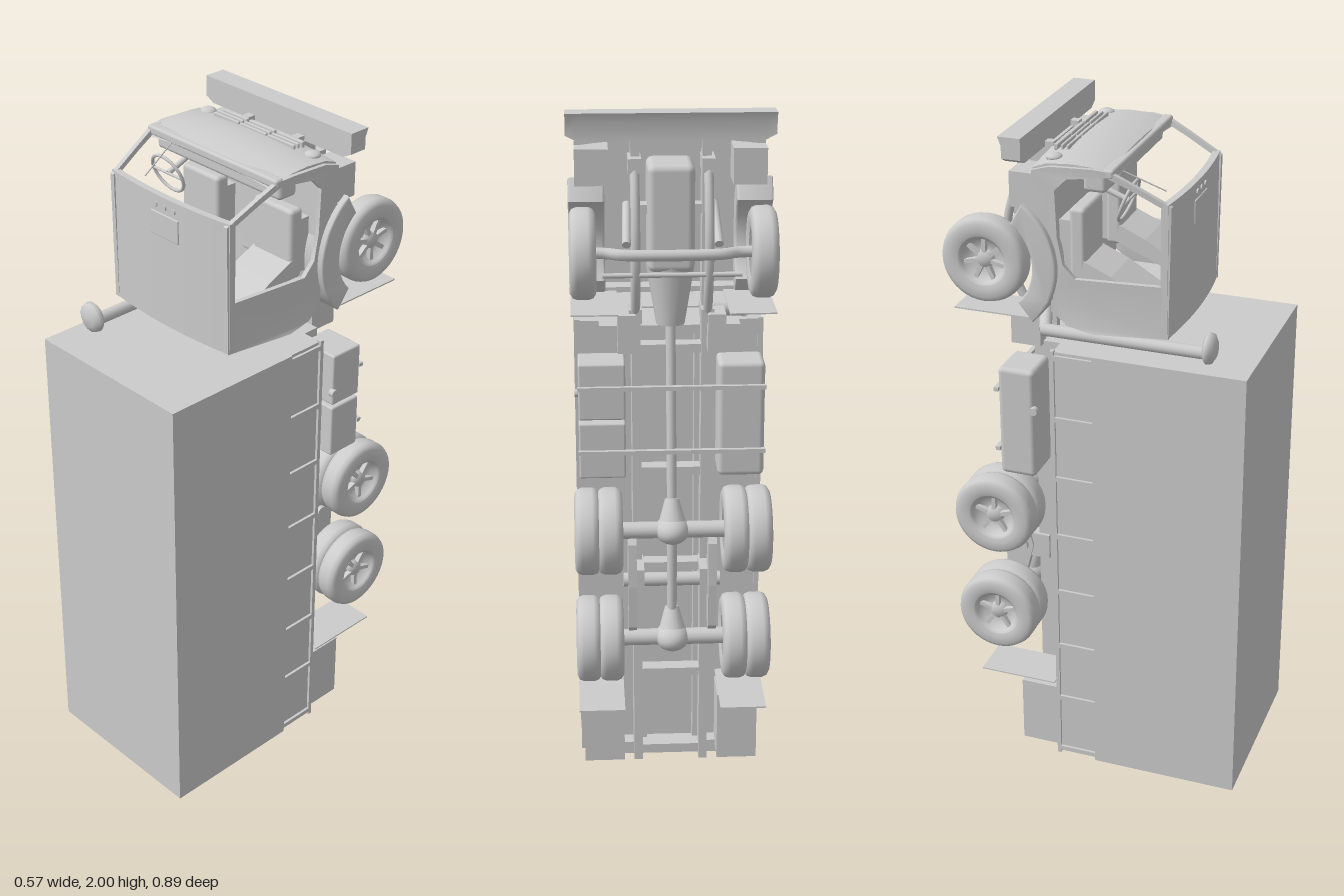
import * as THREE from 'three';
import { toCreasedNormals } from 'three/addons/utils/BufferGeometryUtils.js';
import { RoundedBoxGeometry } from 'three/addons/geometries/RoundedBoxGeometry.js';

// The truck stands on its tail: y runs along its length, z is its height.
export function createModel() {
  const root = new THREE.Group();
  root.name = 'truck';
  const mat = new THREE.MeshStandardMaterial({ color: 0xcccccc, side: THREE.DoubleSide });
  const V = (x, y, z) => new THREE.Vector3(x, y, z);

  function add(name, geo, parent = root) {
    const m = new THREE.Mesh(geo, mat);
    m.name = name;
    parent.add(m);
    return m;
  }
  // Box given by its limits on each axis
  function box(name, x0, x1, y0, y1, z0, z1, r = 0, parent = root) {
    const s = [x1 - x0, y1 - y0, z1 - z0];
    const g = r ? new RoundedBoxGeometry(...s, 2, r) : new THREE.BoxGeometry(...s);
    g.translate((x0 + x1) / 2, (y0 + y1) / 2, (z0 + z1) / 2);
    return add(name, g, parent);
  }
  const mirrorBox = (name, x0, x1, ...rest) => {
    box(name, x0, x1, ...rest);
    box(name, -x1, -x0, ...rest);
  };
  // Round bar between two points
  function rod(name, a, b, r, r2 = r, sides = 16) {
    const d = b.clone().sub(a);
    const m = add(name, new THREE.CylinderGeometry(r2, r, d.length(), sides));
    m.position.copy(a).addScaledVector(d, 0.5);
    m.quaternion.setFromUnitVectors(V(0, 1, 0), d.normalize());
    return m;
  }
  // Side profile of [z, y] points extruded along x from x0 to x1
  const path = (pts) => pts.map(([z, y]) => new THREE.Vector2(-z, y));
  function profile(pts, x0, x1, hole, steps = 1, bevel = 0) {
    const s = new THREE.Shape(path(pts));
    if (hole) s.holes.push(new THREE.Path(path(hole)));
    const g = new THREE.ExtrudeGeometry(s, {
      depth: x1 - x0, steps, bevelEnabled: bevel > 0,
      bevelSize: bevel, bevelThickness: bevel, bevelSegments: 3,
    });
    return g.rotateY(Math.PI / 2).translate(x0, 0, 0);
  }
  function warp(geo, rule) {
    const p = geo.attributes.position, v = V();
    for (let i = 0; i < p.count; i++) {
      rule(v.fromBufferAttribute(p, i));
      p.setXYZ(i, v.x, v.y, v.z);
    }
    return toCreasedNormals(geo, 0.6);
  }

  // Cargo body with ribbed lower sill
  box('cargoBody', -0.272, 0.272, 0, 1.39, 0, 0.445);
  box('cargoSill', -0.262, 0.262, 0.005, 1.385, -0.12, 0);
  for (let i = 0; i < 8; i++) {
    const y = 0.01 + i * 0.193;
    mirrorBox('sillRib', 0.255, 0.27, y, y + 0.015, -0.122, 0);
  }
  mirrorBox('sillEdge', 0.255, 0.27, 0, 1.39, -0.126, -0.114);
  box('rearSill', -0.2, 0.2, 0, 0.04, -0.165, -0.12);
  box('frontSill', -0.2, 0.2, 1.36, 1.385, -0.17, -0.12);
  box('rearPlate', -0.05, 0.05, -0.003, 0.004, -0.06, -0.02);

  // Ladder frame
  mirrorBox('frameRail', 0.085, 0.11, 0.02, 1.94, -0.235, -0.165);
  mirrorBox('subframeRail', 0.07, 0.11, 0.02, 1.38, -0.17, -0.11);
  [0.04, 0.3, 0.65, 0.95, 1.32, 1.72, 1.9].forEach((y) =>
    box('crossMember', -0.1, 0.1, y, y + 0.025, -0.225, -0.18));

  // Wheels: one tyre and one recessed rim, reused along the axles
  const tyreProfile = [[0.068, -0.03], [0.085, -0.036], [0.108, -0.035], [0.12, -0.028],
    [0.125, -0.015], [0.125, 0.015], [0.12, 0.028], [0.108, 0.035], [0.085, 0.036], [0.068, 0.03]];
  const rimProfile = [[0.0, 0.02], [0.022, 0.02], [0.025, 0.006], [0.03, 0.003], [0.056, 0.008], [0.064, 0.028], [0.072, 0.033]];
  const lathe = (pts) => new THREE.LatheGeometry(pts.map((p) => new THREE.Vector2(...p)), 40);
  const tyreGeo = lathe(tyreProfile), rimGeo = lathe(rimProfile);
  function wheel(name, x, y, spokes) {
    const w = new THREE.Group();
    w.name = name;
    add('tyre', tyreGeo, w);
    add('rim', rimGeo, w);
    for (let i = 0; i < spokes; i++) {
      const s = new THREE.Group();
      s.name = 'spoke';
      box('spokeBar', 0.02, 0.063, 0.004, 0.02, -0.006, 0.006, 0, s);
      s.rotation.y = (i * 2 * Math.PI) / spokes;
      w.add(s);
    }
    w.position.set(x, y, -0.317);
    w.rotation.z = x > 0 ? -Math.PI / 2 : Math.PI / 2;
    root.add(w);
  }
  const axleZ = -0.317, frontY = 1.635, rearYs = [0.48, 0.82];
  for (const s of [-1, 1]) {
    wheel('frontWheel', s * 0.243, frontY, 7);
    for (const y of rearYs) {
      wheel('rearOuterWheel', s * 0.243, y, 5);
      wheel('rearInnerWheel', s * 0.178, y, 0);
    }
  }

  // Rear axles, differentials and drive shafts
  for (const y of rearYs) {
    rod('rearAxle', V(-0.23, y, axleZ), V(0.23, y, axleZ), 0.024);
    const diff = add('differential', new THREE.SphereGeometry(0.055, 24, 16));
    diff.position.set(0, y, axleZ);
    diff.scale.set(0.9, 0.75, 1);
    rod('differentialNose', V(0, y, axleZ), V(0, y + 0.085, -0.29), 0.045, 0.02);
  }
  rod('rearDriveShaft', V(0, 0.52, -0.3), V(0, 0.8, -0.3), 0.014);
  rod('driveShaft', V(0, 0.88, -0.285), V(0, 1.42, -0.21), 0.014);
  rod('gearbox', V(0, 1.4, -0.2), V(0, 1.58, -0.19), 0.04, 0.07);
  box('engine', -0.065, 0.065, 1.56, 1.86, -0.26, -0.11, 0.02);
  rod('rearPivot', V(-0.14, 0.65, -0.285), V(0.14, 0.65, -0.285), 0.02);
  const beam = [[-0.3, 0.48], [-0.335, 0.52], [-0.34, 0.65], [-0.335, 0.78], [-0.3, 0.82], [-0.27, 0.73], [-0.25, 0.65], [-0.27, 0.57]];
  for (const s of [-1, 1]) {
    add('walkingBeam', profile(beam, s * 0.115 - 0.012, s * 0.115 + 0.012));
    box('pivotBracket', s * 0.1 - 0.02, s * 0.1 + 0.02, 0.61, 0.69, -0.31, -0.2);
  }

  // Front axle, springs and steering
  const axleCurve = new THREE.CatmullRomCurve3(
    [[-0.23, -0.317], [-0.18, -0.32], [-0.13, -0.342], [0.13, -0.342], [0.18, -0.32], [0.23, -0.317]].map(([x, z]) => V(x, frontY, z)));
  add('frontAxle', new THREE.TubeGeometry(axleCurve, 32, 0.016, 10));
  rod('trackRod', V(-0.19, 1.57, -0.31), V(0.19, 1.57, -0.31), 0.007);
  for (const s of [-1, 1]) {
    const spring = new THREE.QuadraticBezierCurve3(V(s * 0.1, 1.44, -0.25), V(s * 0.1, frontY, -0.38), V(s * 0.1, 1.86, -0.25));
    add('leafSpring', new THREE.TubeGeometry(spring, 20, 0.013, 8));
    rod('shockAbsorber', V(s * 0.125, 1.66, -0.33), V(s * 0.12, 1.74, -0.19), 0.012);
    box('springHanger', s * 0.1 - 0.018, s * 0.1 + 0.018, 1.84, 1.88, -0.27, -0.18);
    box('springHanger', s * 0.1 - 0.018, s * 0.1 + 0.018, 1.42, 1.46, -0.27, -0.18);
  }

  // Side tanks, lockers and mudflaps
  box('fuelTank', -0.262, -0.13, 0.97, 1.31, -0.29, -0.18, 0.015);
  box('sideLocker', 0.13, 0.262, 0.97, 1.135, -0.29, -0.18, 0.006);
  box('sideLocker', 0.13, 0.262, 1.145, 1.31, -0.29, -0.18, 0.006);
  for (const y of [1.05, 1.24]) box('tankStrap', -0.264, 0.264, y - 0.006, y + 0.006, -0.302, -0.288);
  for (const s of [-1, 1]) rod('fillerCap', V(s * 0.255, 1.19, -0.18), V(s * 0.272, 1.19, -0.18), 0.012);
  mirrorBox('tankBracket', 0.1, 0.15, 1.34, 1.45, -0.29, -0.2);
  mirrorBox('rearLocker', 0.14, 0.26, 0.025, 0.24, -0.243, -0.125);
  mirrorBox('rearMudflap', 0.14, 0.275, 0.264, 0.268, -0.37, -0.13);
  mirrorBox('frontMudflap', 0.15, 0.278, 1.484, 1.488, -0.405, -0.17);
  mirrorBox('cabStep', 0.17, 0.262, 1.8, 1.9, -0.235, -0.13);

  // Cab sides with a large door opening, leaning in toward the roof
  const lean = (v) => { v.x -= Math.sign(v.x) * 0.13 * Math.max(0, v.z); };
  const side = [[0.21, 1.46], [0, 1.455], [-0.07, 1.47], [-0.11, 1.5], [-0.115, 1.57], [-0.1, 1.635],
    [-0.12, 1.72], [-0.17, 1.79], [-0.17, 1.91], [-0.12, 1.925], [0.0, 1.93], [0.05, 1.925], [0.12, 1.89], [0.215, 1.84]];
  const opening = [[0.198, 1.612], [-0.05, 1.612], [-0.085, 1.65], [-0.1, 1.73], [-0.105, 1.86],
    [-0.07, 1.895], [0.04, 1.91], [0.11, 1.878], [0.198, 1.832]];
  add('cabSideLeft', warp(profile(side, 0.248, 0.262, opening), lean));
  add('cabSideRight', warp(profile(side, -0.262, -0.248, opening), lean));
  box('cabRearWall', -0.236, 0.236, 1.46, 1.475, -0.09, 0.208);
  box('cabFloor', -0.25, 0.25, 1.5, 1.92, -0.125, -0.112);
  add('roof', warp(new THREE.BoxGeometry(0.474, 0.388, 0.02, 10, 1, 1).translate(0, 1.654, 0.214),
    (v) => { v.z -= 0.3 * v.x * v.x; }));
  box('roofHatch', -0.055, 0.055, 1.73, 1.8, 0.215, 0.227, 0.003);
  for (const x of [-0.036, 0, 0.036]) rod('roofLamp', V(x, 1.82, 0.215), V(x, 1.82, 0.228), 0.008);

  // Curved nose panel with dash ledge, grille and headlamps
  const nose = [[0.06, 1.915], [0.045, 1.936], [0.0, 1.947], [-0.06, 1.95], [-0.13, 1.945], [-0.17, 1.93],
    [-0.17, 1.915], [-0.06, 1.935], [0.03, 1.925]];
  add('nosePanel', warp(profile(nose, -0.25, 0.25, null, 12), (v) => { v.y -= 0.25 * v.x * v.x; }));
  box('windscreenSill', -0.257, 0.257, 1.905, 1.932, 0.03, 0.06, 0.008);
  box('dashboard', -0.245, 0.245, 1.86, 1.92, -0.03, 0.035, 0.012);
  for (const z of [-0.137, -0.121, -0.105, -0.141 + 0.0]) {
    for (const x of [-0.108, 0, 0.108]) box('grilleSlat', x - 0.05, x + 0.05, 1.935, 1.953, z - 0.004, z + 0.004, 0.003);
  }
  for (const s of [-1, 1]) {
    const lamp = add('headlamp', new THREE.SphereGeometry(0.023, 20, 12));
    lamp.position.set(s * 0.206, 1.935, -0.125);
    lamp.scale.y = 0.5;
  }

  // Bumper with lamps
  const bumper = [[-0.19, 1.925], [-0.245, 1.925], [-0.245, 1.975], [-0.255, 2.0], [-0.19, 2.0]];
  add('bumper', warp(profile(bumper, -0.285, 0.285, null, 20), (v) => {
    if (Math.abs(v.x) > 0.27 && v.y < 1.95) v.y += 0.015;
  }));
  for (const s of [-1, 1]) {
    box('lampPanel', s * 0.227 - 0.045, s * 0.227 + 0.045, 1.99, 2.0, -0.236, -0.2);
    rod('bumperLamp', V(s * 0.247, 1.985, -0.22), V(s * 0.247, 2, -0.22), 0.012);
  }

  // Front wheel arches: ring sectors round the axle
  const arch = [];
  for (let i = 0; i <= 40; i++) {
    const outer = i <= 20;
    const a = (outer ? -0.8 + i * 0.0875 : 0.95 - (i - 20.5) * 0.0875) * 1.0;
    const r = outer ? 0.212 : 0.155;
    arch.push([axleZ + r * Math.cos(a), frontY + r * Math.sin(a)]);
  }
  for (const s of [-1, 1]) {
    add('wheelArch', toCreasedNormals(profile(arch, s * 0.231 - 0.044, s * 0.231 + 0.044, null, 1, 0.006), 0.7));
  }

  // Seats
  for (const s of [-1, 1]) {
    const a = s * 0.146 - 0.075, b = s * 0.146 + 0.075;
    box('seatBase', a + 0.01, b - 0.01, 1.6, 1.76, -0.115, -0.07);
    box('seatCushion', a, b, 1.59, 1.8, -0.08, -0.035, 0.012);
    const back = [[-0.05, 1.6], [0.14, 1.52], [0.14, 1.555], [0.04, 1.615], [-0.04, 1.65]];
    add('seatBack', profile(back, a, b));
    box('headrest', s * 0.146 - 0.045, s * 0.146 + 0.045, 1.52, 1.55, 0.13, 0.156, 0.008);
  }

  // Steering wheel, column and lever
  const wheelPos = V(-0.16, 1.82, 0.07);
  const axis = V(0, -0.35, 0.94).normalize();
  const sw = add('steeringWheel', new THREE.TorusGeometry(0.06, 0.005, 8, 32));
  sw.position.copy(wheelPos);
  sw.quaternion.setFromUnitVectors(V(0, 0, 1), axis);
  rod('steeringColumn', wheelPos.clone().addScaledVector(axis, -0.19), wheelPos, 0.008);
  rod('steeringSpoke', V(-0.218, 1.82, 0.07), V(-0.102, 1.82, 0.07), 0.004);
  rod('wiper', V(-0.18, 1.935, -0.02), V(-0.14, 1.85, 0.17), 0.002, 0.002, 6);

  // Air intake stack behind the cab
  rod('intakePipe', V(-0.21, 1.425, -0.17), V(-0.21, 1.425, 0.31), 0.018);
  const cap = add('intakeCap', lathe([[0, 0], [0.035, 0], [0.045, 0.008], [0.042, 0.022], [0.025, 0.032], [0, 0.034]]));
  cap.rotation.x = Math.PI / 2;
  cap.position.set(-0.208, 1.44, 0.308);
  rod('intakeElbow', V(-0.21, 1.425, -0.16), V(-0.1, 1.44, -0.2), 0.018);
  return root;
}
